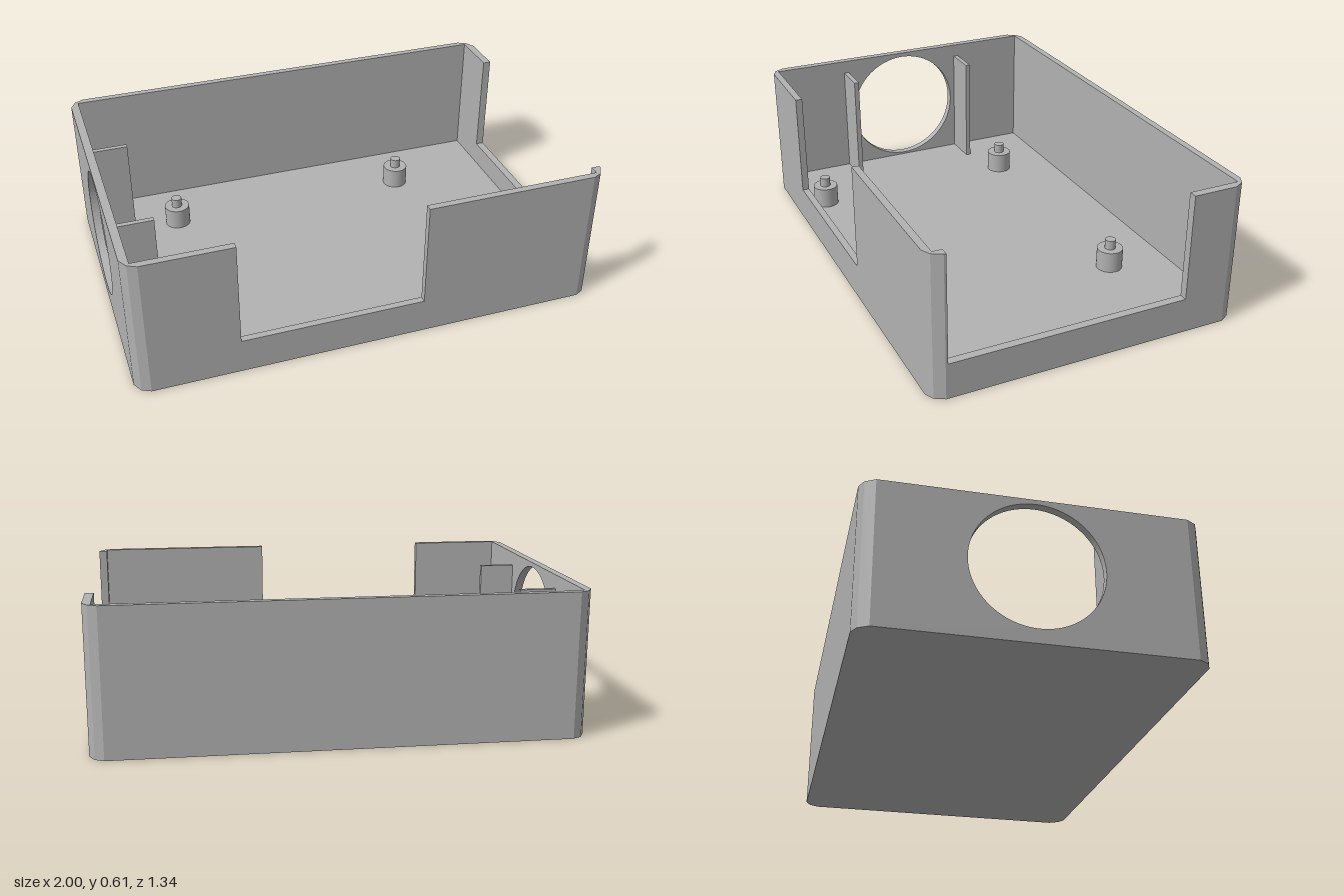
import * as THREE from 'three';

const HX = 1, HZ = 0.67, H = 0.61;      // outer half sizes and height
const TX = 0.035, TZ = 0.03;            // wall thicknesses
const CX = 0.94, CZ = 0.61;             // where the rounded corners begin
const FLOOR = 0.05, SILL = 0.153;

export function createModel() {
  const group = new THREE.Group();
  const grey = new THREE.MeshStandardMaterial({ color: 0xb2b2b2 });
  grey.name = 'grey plastic';

  const add = (name, geometry, x = 0, y = 0, z = 0) => {
    const mesh = new THREE.Mesh(geometry, grey);
    mesh.name = name;
    mesh.position.set(x, y, z);
    group.add(mesh);
    return mesh;
  };
  const extrude = (shape, depth) =>
    new THREE.ExtrudeGeometry(shape, { depth, bevelEnabled: false, curveSegments: 40 });
  const polygon = (points) => new THREE.Shape(points.map(([x, y]) => new THREE.Vector2(x, y)));

  // Upright panel of half width w, optionally notched from the top between a and b
  const panel = (w, a, b) => polygon([
    [-w, 0], [w, 0], [w, H],
    ...(a === undefined ? [] : [[b, H], [b, SILL], [a, SILL], [a, H]]),
    [-w, H],
  ]);

  // Floor
  const floorGeometry = new THREE.BoxGeometry(2 * (HX - TX), FLOOR, 2 * (HZ - TZ));
  add('floor', floorGeometry, 0, FLOOR / 2, 0);

  // Front and back walls
  add('frontWall', extrude(panel(CX, -0.57, 0.21), TZ), 0, 0, HZ - TZ);
  add('backWall', extrude(panel(CX), TZ), 0, 0, -HZ);

  // Side walls: the left one is notched, the right one has a round opening
  const leftWall = add('leftWall', extrude(panel(CZ, -0.42, 0.6), TX), HX);
  const holed = panel(CZ);
  holed.holes.push(new THREE.Path().absarc(0, 0.325, 0.265, 0, Math.PI * 2, true));
  const rightWall = add('rightWall', extrude(holed, TX), -HX + TX);
  leftWall.rotation.y = rightWall.rotation.y = -Math.PI / 2;

  // Rounded corners
  for (const sx of [-1, 1]) for (const sz of [-1, 1]) {
    const plan = [
      [HX, CZ], [0.977, 0.651], [CX, HZ],
      [CX, HZ - TZ], [HX - TX, HZ - TZ], [HX - TX, CZ],
    ].map(([x, z]) => [sx * x, -sz * z]);
    const corner = add('corner', extrude(polygon(plan), H));
    corner.rotation.x = -Math.PI / 2;
  }

  // Standoffs with locating pins
  const postTop = 0.142, pinTop = 0.183;
  for (const x of [-0.6, 0.5]) for (const z of [-0.375, 0.55]) {
    add('standoff', new THREE.CylinderGeometry(0.056, 0.056, postTop - FLOOR, 32),
      x, (postTop + FLOOR) / 2, z);
    add('standoffPin', new THREE.CylinderGeometry(0.023, 0.023, pinTop - postTop, 24),
      x, (pinTop + postTop) / 2, z);
  }

  // Guide ribs beside the round opening
  for (const z of [-0.298, 0.298]) {
    add('guideRib', new THREE.BoxGeometry(0.155, 0.55 - FLOOR, 0.022),
      -HX + TX + 0.0775, (0.55 + FLOOR) / 2, z);
  }
  return group;
}
